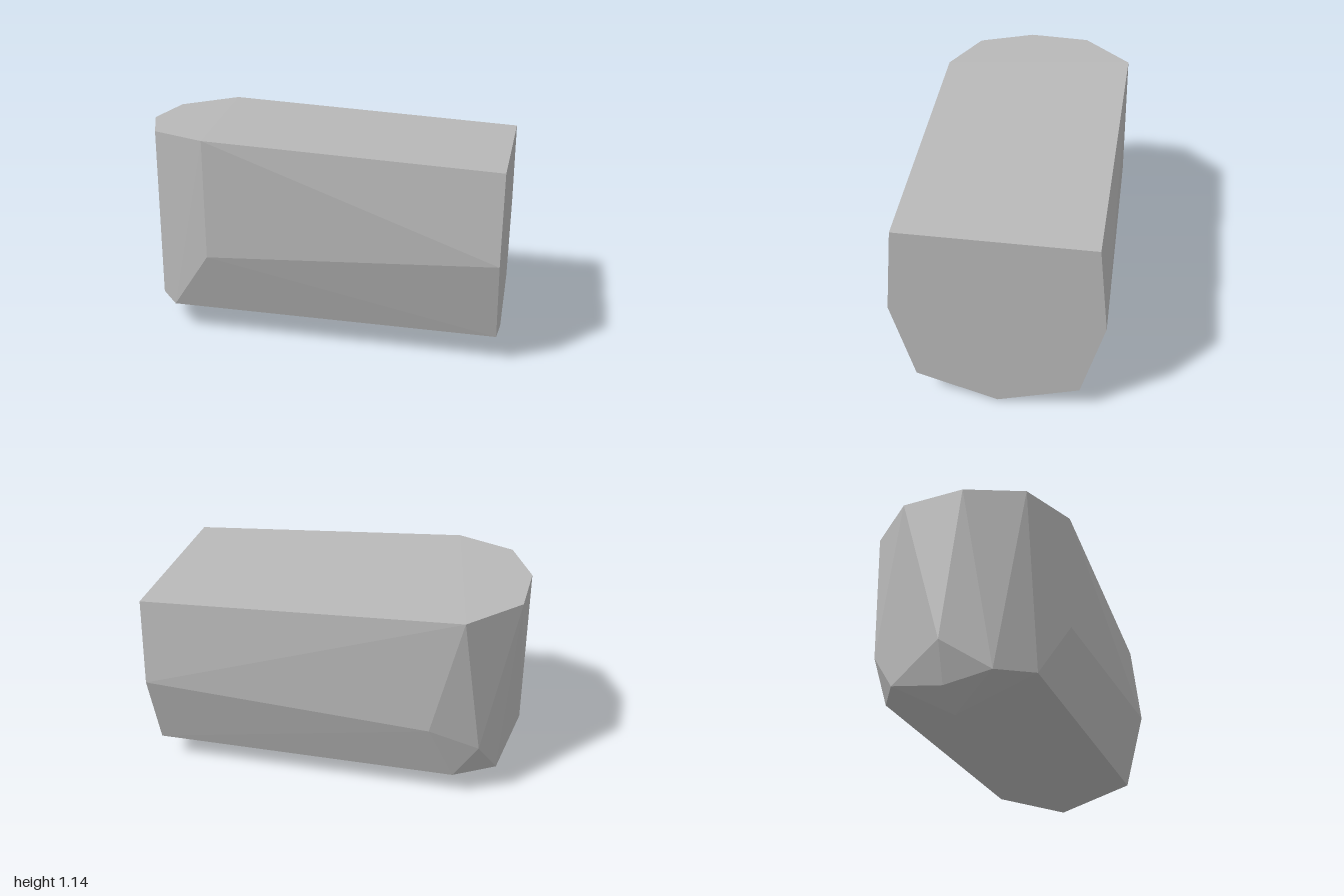
import * as THREE from 'three';
import { ConvexGeometry } from 'three/addons/geometries/ConvexGeometry.js';

// Faceted block: flat stern at +x, rounded bow at -x, V-shaped keel below.
export function createModel() {
  const group = new THREE.Group();
  group.name = 'facetedHull';
  const grey = new THREE.MeshStandardMaterial({ color: 0xb8b8b8 });
  grey.name = 'plain grey';

  const points = [];
  const add = (x, y, z) => points.push(new THREE.Vector3(x, y, z));

  // stern section and side shoulders, mirrored across z
  for (const s of [1, -1]) {
    add(1, 1.06, s * 0.493);
    add(1, 0.587, s * 0.541);
    add(1, 0.148, s * 0.424);
    add(-0.55, 0.49, s * 0.525);
  }

  // deck outline around the bow
  const deck = [[-0.55, 0.535], [-0.86, 0.4], [-0.985, 0.1], [-0.96, -0.24], [-0.7, -0.51]];
  for (const [x, z] of deck) add(x, 1.137, z);

  // lower chine around the bow
  add(-0.79, 0.148, 0.424);
  add(-0.93, 0.135, 0.25);
  add(-0.905, 0.138, -0.283);
  add(-0.68, 0.148, -0.424);
  add(-0.81, 0.355, -0.435);

  // keel and stem
  add(1, 0.014, 0);
  add(-0.77, 0, 0);
  add(-0.93, 0.09, 0);
  add(-1, 0.3, 0);

  const hull = new THREE.Mesh(new ConvexGeometry(points), grey);
  hull.name = 'hull';
  group.add(hull);
  return group;
}
